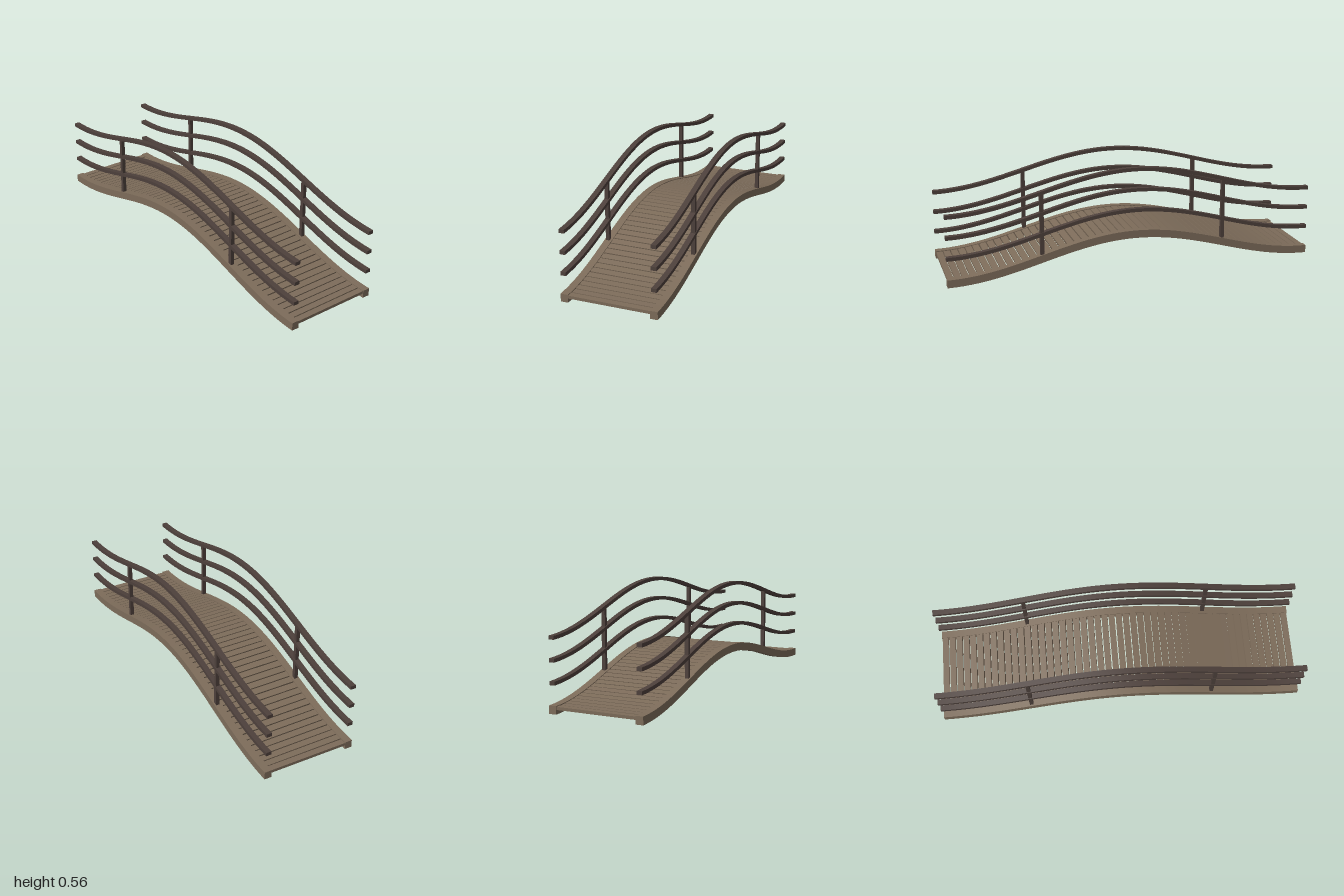
import * as THREE from 'three';
import { toCreasedNormals } from 'three/addons/utils/BufferGeometryUtils.js';

const RISE = 0.177;
// height and slope of the arch along the length of the bridge
const arch = (z) => (RISE / 2) * (1 + Math.cos(Math.PI * z));
const slope = (z) => -(RISE / 2) * Math.PI * Math.sin(Math.PI * z);

// bar that follows the arch, starting at height y, centred on x = 0
function archedBar(y, height, width) {
  const steps = 48;
  const points = [];
  for (let i = 0; i <= steps; i++) {
    const z = -1 + (2 * i) / steps;
    points.push(new THREE.Vector2(z, arch(z) + y));
  }
  const top = points.map((p) => new THREE.Vector2(p.x, p.y + height)).reverse();
  const geometry = new THREE.ExtrudeGeometry(new THREE.Shape([...points, ...top]), {
    depth: width,
    bevelEnabled: false,
  });
  geometry.translate(0, 0, -width / 2);
  geometry.rotateY(-Math.PI / 2);
  return toCreasedNormals(geometry, 0.5);
}

export function createModel() {
  const bridge = new THREE.Group();
  bridge.name = 'footbridge';
  const lightWood = new THREE.MeshStandardMaterial({ color: 0x7d6c5a });
  lightWood.name = 'lightWood';
  const darkWood = new THREE.MeshStandardMaterial({ color: 0x4d403b });
  darkWood.name = 'darkWood';

  const add = (name, geometry, material, x, y, z) => {
    const mesh = new THREE.Mesh(geometry, material);
    mesh.name = name;
    mesh.position.set(x, y, z);
    bridge.add(mesh);
    return mesh;
  };

  // side beams, handrails and posts
  const beam = archedBar(0, 0.042, 0.04);
  const rails = [0.142, 0.254, 0.365].map((y) => archedBar(y, 0.019, 0.029));
  const post = new THREE.BoxGeometry(0.02, 0.342, 0.02);
  for (const [side, s] of [['left', 1], ['right', -1]]) {
    add(side + 'Beam', beam, lightWood, s * 0.238, 0, 0);
    rails.forEach((rail, i) => add(side + 'Rail' + (i + 1), rail, darkWood, s * 0.239, 0, 0));
    for (const z of [-0.5, 0.5]) add(side + 'Post', post, darkWood, s * 0.24, 0.296, z);
  }

  // deck planks, each very slightly askew
  let seed = 7;
  const jitter = () => {
    seed = (seed * 16807) % 2147483647;
    return seed / 2147483647 - 0.5;
  };
  const count = 50;
  const pitch = 2 / count;
  for (let i = 0; i < count; i++) {
    const z = -1 + (i + 0.5) * pitch;
    const angle = Math.atan(slope(z));
    const depth = (pitch - 0.006) / Math.cos(angle);
    const plank = add('plank', new THREE.BoxGeometry(0.437, 0.016, depth), lightWood, 0, arch(z) + 0.03, z);
    plank.rotation.set(-angle, jitter() * 0.006, jitter() * 0.006);
  }
  return bridge;
}
